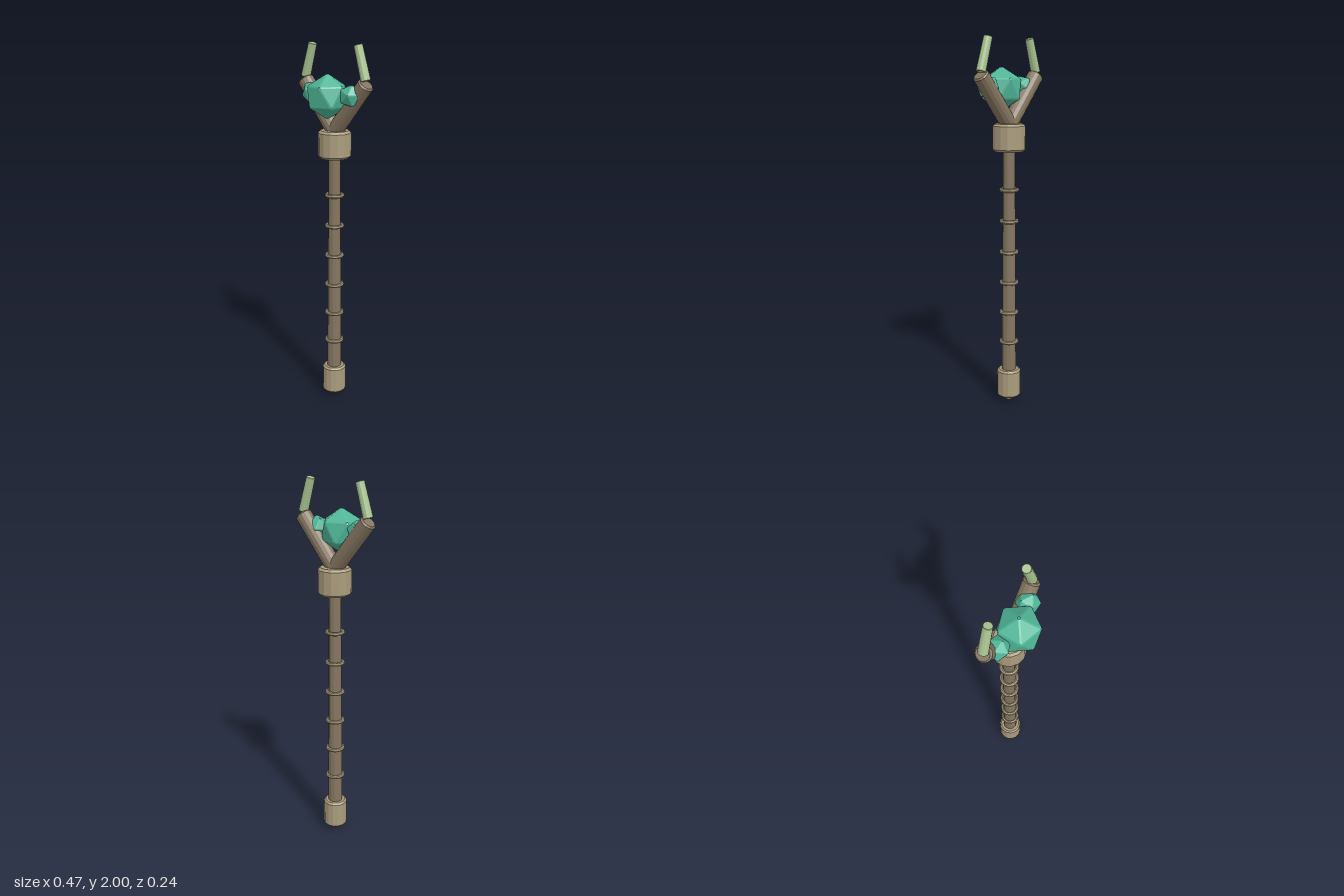
import * as THREE from 'three';
import { ConvexGeometry } from 'three/addons/geometries/ConvexGeometry.js';

const AXIS_Z = -0.034;
const paint = (color) => new THREE.MeshStandardMaterial({ color, flatShading: true });
const wood = paint(0x857660);
const brass = paint(0xaa9c7c);
const crystal = paint(0x4fb597);
const horn = paint(0xa9c491);

function add(parent, name, geometry, material, x = 0, y = 0, z = 0) {
  const mesh = new THREE.Mesh(geometry, material);
  mesh.name = name;
  mesh.position.set(x, y, z);
  parent.add(mesh);
  return mesh;
}

// Closed cylinder from y0 to y1 with chamfered rims
function chamfered(r0, r1, y0, y1, bevel, sides) {
  const profile = [
    [0, y0], [r0 - bevel, y0], [r0, y0 + bevel],
    [r1, y1 - bevel], [r1 - bevel, y1], [0, y1],
  ].map(([r, y]) => new THREE.Vector2(r, y));
  return new THREE.LatheGeometry(profile, sides);
}

// Chamfered cylinder between two points
function rod(parent, name, from, to, r0, r1, bevel, sides, material) {
  const dir = to.clone().sub(from);
  const mesh = add(parent, name, chamfered(r0, r1, 0, dir.length(), bevel, sides), material);
  mesh.position.copy(from);
  mesh.quaternion.setFromUnitVectors(new THREE.Vector3(0, 1, 0), dir.normalize());
  return mesh;
}

// Icosahedron standing on a corner, with bevelled edges and corners
function gemGeometry(radius, bevel) {
  const corners = [new THREE.Vector3(0, 1, 0), new THREE.Vector3(0, -1, 0)];
  for (let i = 0; i < 5; i++) {
    const a = (i * Math.PI * 2) / 5;
    const x = 0.8944 * Math.cos(a), z = 0.8944 * Math.sin(a);
    corners.push(new THREE.Vector3(x, 0.4472, z), new THREE.Vector3(-x, -0.4472, -z));
  }
  const near = (a, b) => corners[a].distanceTo(corners[b]) < 1.1;
  const points = [];
  for (let i = 0; i < 12; i++)
    for (let j = i + 1; j < 12; j++)
      for (let k = j + 1; k < 12; k++) {
        if (!near(i, j) || !near(j, k) || !near(i, k)) continue;
        const face = [corners[i], corners[j], corners[k]];
        const mid = face[0].clone().add(face[1]).add(face[2]).divideScalar(3);
        face.forEach((c) => points.push(c.clone().lerp(mid, bevel).multiplyScalar(radius)));
      }
  return new ConvexGeometry(points);
}

export function createModel() {
  const staff = new THREE.Group();
  staff.name = 'staff';

  // Tapered shaft with thin rings
  add(staff, 'shaft', chamfered(0.041, 0.032, 0.1, 1.45, 0.004, 12), wood, 0, 0, AXIS_Z);
  for (let i = 0; i < 6; i++) {
    const ring = add(staff, 'shaftRing', new THREE.TorusGeometry(0.043, 0.0105, 8, 20), brass,
      0, 0.35 + i * 0.171, AXIS_Z);
    ring.rotation.x = Math.PI / 2;
  }

  // Collars at both ends and the foot bead
  add(staff, 'bottomCollar', chamfered(0.066, 0.066, 0.03, 0.188, 0.01, 14), brass, 0, 0, AXIS_Z);
  add(staff, 'topCollar', chamfered(0.088, 0.088, 1.41, 1.556, 0.012, 14), brass, 0, 0, AXIS_Z);
  add(staff, 'footBead', new THREE.SphereGeometry(0.035, 12, 8), horn, 0, 0.035, AXIS_Z);

  // Forked head: prongs with inward-leaning tips
  for (const s of [1, -1]) {
    rod(staff, s > 0 ? 'leftProng' : 'rightProng',
      new THREE.Vector3(-0.02 * s, 1.524, AXIS_Z), new THREE.Vector3(0.209 * s, 1.807, AXIS_Z),
      0.043, 0.043, 0.008, 14, wood);
    rod(staff, s > 0 ? 'leftTip' : 'rightTip',
      new THREE.Vector3(0.205 * s, 1.821, AXIS_Z), new THREE.Vector3(0.153 * s, 1.994, AXIS_Z),
      0.026, 0.023, 0.002, 12, horn);
  }

  // Large central gem and two mirrored side gems
  add(staff, 'centralGem', gemGeometry(0.118, 0.13), crystal, 0, 1.735, 0.022);
  const sideGem = gemGeometry(0.062, 0.13);
  for (const s of [1, -1]) {
    const gem = add(staff, s > 0 ? 'leftGem' : 'rightGem', sideGem, crystal, 0.13 * s, 1.745, -0.008);
    gem.rotation.set(0.25, s > 0 ? 0 : Math.PI, -0.35 * s);
  }

  return staff;
}
